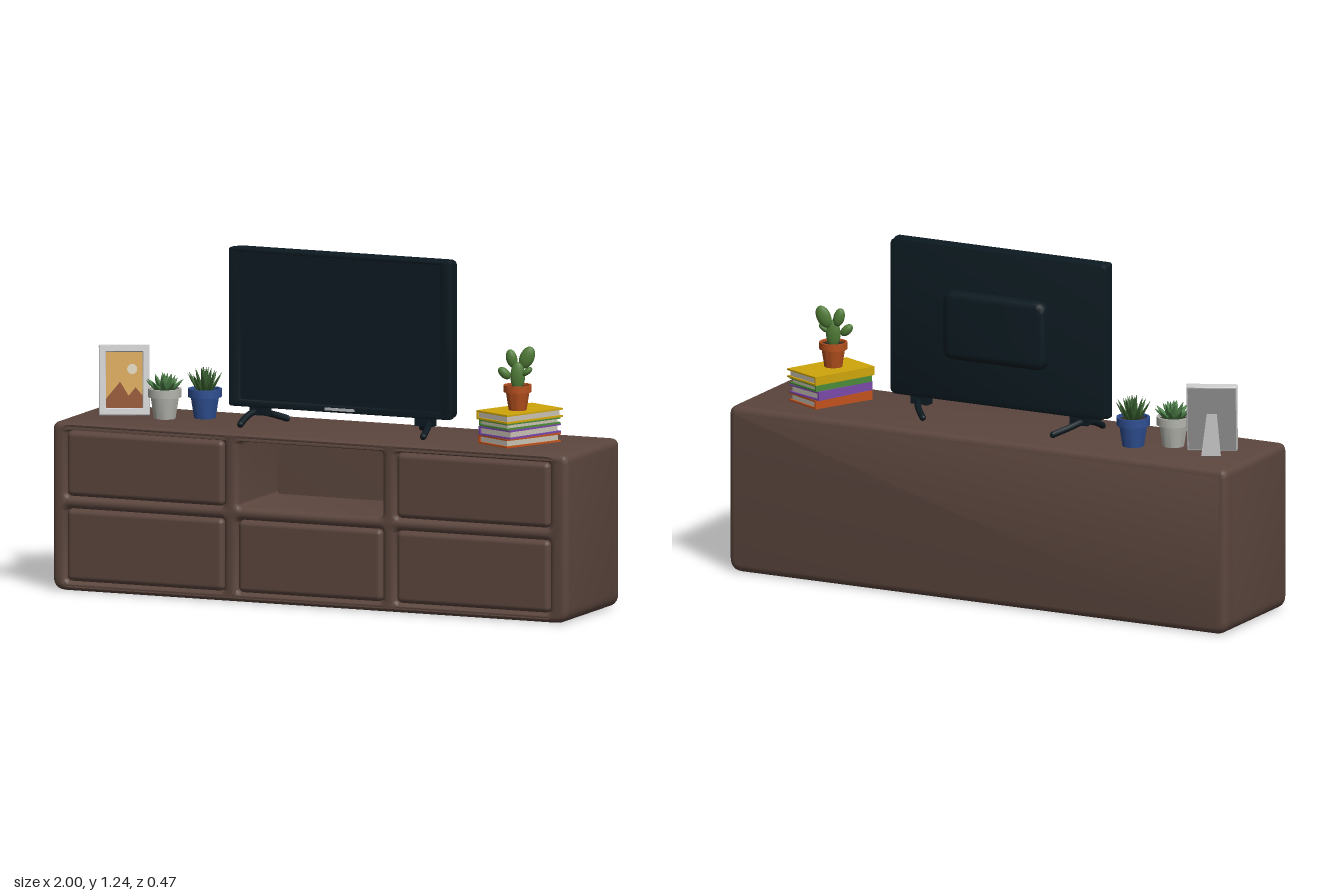
import * as THREE from 'three';
import { toCreasedNormals } from 'three/addons/utils/BufferGeometryUtils.js';
import { RoundedBoxGeometry } from 'three/addons/geometries/RoundedBoxGeometry.js';

const mats = {};
const mat = (color) => (mats[color] ??= new THREE.MeshStandardMaterial({ color, side: THREE.DoubleSide }));
const WOOD = 0x5c463e, DARK = 0x0c1a21, GREEN = 0x4f7a36, SOIL = 0x3a2a20;

function add(parent, name, geometry, color, x = 0, y = 0, z = 0) {
  const mesh = new THREE.Mesh(geometry, mat(color));
  mesh.name = name;
  mesh.position.set(x, y, z);
  parent.add(mesh);
  return mesh;
}

function group(parent, name, x, y, z, turn = 0) {
  const g = new THREE.Group();
  g.name = name;
  g.position.set(x, y, z);
  g.rotation.y = turn;
  parent.add(g);
  return g;
}

// Rounded rectangle with separate top and bottom corner radii
function roundRect(target, x0, y0, x1, y1, rb, rt = rb) {
  target.moveTo(x0 + rb, y0);
  target.lineTo(x1 - rb, y0);
  target.quadraticCurveTo(x1, y0, x1, y0 + rb);
  target.lineTo(x1, y1 - rt);
  target.quadraticCurveTo(x1, y1, x1 - rt, y1);
  target.lineTo(x0 + rt, y1);
  target.quadraticCurveTo(x0, y1, x0, y1 - rt);
  target.lineTo(x0, y0 + rb);
  target.quadraticCurveTo(x0, y0, x0 + rb, y0);
  return target;
}

// Extrusion from z0 to z1 whose bevel stays inside the outline
function slab(shape, z0, z1, bevel, segments = 4) {
  const g = new THREE.ExtrudeGeometry(shape, {
    depth: z1 - z0 - 2 * bevel, bevelEnabled: bevel > 0, bevelThickness: bevel, bevelSize: bevel,
    bevelOffset: -bevel, bevelSegments: segments, curveSegments: 6,
  });
  g.translate(0, 0, z0 + bevel);
  return toCreasedNormals(g, 0.6);
}

function buildCabinet(root) {
  const cabinet = group(root, 'cabinet', 0, 0, 0);
  const outline = () => roundRect(new THREE.Shape(), -1, 0, 1, 0.605, 0.05, 0.03);
  add(cabinet, 'cabinetBack', slab(outline(), -0.235, -0.12, 0.025), WOOD);

  // Front carcass with six openings; the upper middle one stays open
  const columns = [[-0.945, -0.335], [-0.28, 0.28], [0.335, 0.93]];
  const rows = [[0.035, 0.295], [0.34, 0.575]];
  const carcass = outline();
  columns.forEach(([x0, x1], c) => rows.forEach(([y0, y1], r) => {
    carcass.holes.push(roundRect(new THREE.Path(), x0, y0, x1, y1, 0.015));
    if (c === 1 && r === 1) return;
    add(cabinet, 'drawer', new RoundedBoxGeometry(x1 - x0, y1 - y0, 0.37, 4, 0.02), WOOD,
      (x0 + x1) / 2, (y0 + y1) / 2, 0.05);
  }));
  add(cabinet, 'cabinetCarcass', slab(carcass, -0.2, 0.235, 0.022), WOOD);
}

function buildTelevision(root) {
  const tv = group(root, 'television', 0.027, 0, 0);
  const bezel = roundRect(new THREE.Shape(), -0.432, 0.67, 0.432, 1.24, 0.012);
  bezel.holes.push(roundRect(new THREE.Path(), -0.388, 0.696, 0.388, 1.225, 0.004));
  add(tv, 'bezel', slab(bezel, 0, 0.03, 0.004, 2), DARK);
  add(tv, 'backShell', slab(roundRect(new THREE.Shape(), -0.432, 0.67, 0.432, 1.24, 0.025), -0.03, 0.015, 0.006, 2), DARK);
  add(tv, 'screen', new THREE.BoxGeometry(0.79, 0.54, 0.01), DARK, 0, 0.96, 0.015);
  add(tv, 'rearHousing', slab(roundRect(new THREE.Shape(), -0.205, 0.83, 0.205, 1.08, 0.04), -0.068, 0, 0.025), DARK);
  add(tv, 'indicatorBar', new THREE.BoxGeometry(0.115, 0.01, 0.006), 0xb5b8ba, 0, 0.682, 0.03);

  // Bowed feet, mirrored
  for (const s of [-1, 1]) {
    const path = new THREE.CatmullRomCurve3([
      [0.262, 0.617, -0.1], [0.3, 0.635, -0.06], [0.335, 0.652, 0], [0.35, 0.64, 0.05], [0.355, 0.617, 0.1],
    ].map(([x, y, z]) => new THREE.Vector3(s * x, y, z)));
    add(tv, 'foot', new THREE.TubeGeometry(path, 20, 0.012, 8), DARK);
    for (const p of [path.getPoint(0), path.getPoint(1)])
      add(tv, 'footTip', new THREE.SphereGeometry(0.012, 8, 6), DARK, p.x, p.y, p.z);
    add(tv, 'footMount', new THREE.BoxGeometry(0.07, 0.04, 0.035), DARK, s * 0.32, 0.66, 0);
  }
}

function buildBooks(root) {
  const books = [
    [0xc2521c, 0.605, 0.032, -0.46, 0.16, 0.25],
    [0x7a4aa8, 0.637, 0.032, -0.38, 0.162, 0.25],
    [0x4c8a3a, 0.669, 0.024, -0.44, 0.155, 0.25],
    [0xd0a60c, 0.693, 0.032, -0.43, 0.165, 0.265],
  ];
  for (const [color, y, h, turn, w, d] of books) {
    const book = group(root, 'book', 0.718, y, 0.012, turn);
    const t = 0.006;
    for (const cy of [t / 2, h - t / 2]) add(book, 'cover', new THREE.BoxGeometry(w, t, d), color, 0, cy, 0);
    add(book, 'spine', new THREE.BoxGeometry(t, h, d), color, -w / 2 + t / 2, h / 2, 0);
    add(book, 'pages', new THREE.BoxGeometry(w - 0.014, h - t, d - 0.016), 0xc9c2b4, -0.002, h / 2, 0);
  }
}

// Tapered pot with a rim, hollow down to the soil
function buildPot(root, name, x, y, z, r, h, color) {
  const pot = group(root, name, x, y, z);
  const profile = [[0, 0], [0.64, 0], [0.84, 0.72], [1, 0.72], [1, 1], [0.86, 1], [0.82, 0.82]]
    .map(([a, b]) => new THREE.Vector2(a * r, b * h));
  add(pot, 'pot', toCreasedNormals(new THREE.LatheGeometry(profile, 28), 0.5), color);
  add(pot, 'soil', new THREE.CylinderGeometry(r * 0.85, r * 0.8, 0.01, 24), SOIL, 0, h * 0.86, 0);
  return pot;
}

function buildCactus(root) {
  const pot = buildPot(root, 'cactusPot', 0.718, 0.725, 0.03, 0.05, 0.09, 0xb5501e);
  // Pads: centre, half width, half height, lean
  const pads = [
    [0, 0.12, 0, 0.026, 0.052, 0],
    [-0.022, 0.182, -0.01, 0.02, 0.034, 0.25],
    [0.032, 0.185, -0.018, 0.026, 0.042, -0.4],
    [-0.047, 0.132, 0.006, 0.017, 0.027, 0.8],
    [0.034, 0.138, 0.004, 0.011, 0.022, -0.9],
  ];
  const plant = group(pot, 'cactus', 0, 0, 0, 0.35);
  for (const [x, y, z, w, h, lean] of pads) {
    const pad = add(plant, 'cactusPad', new THREE.SphereGeometry(1, 16, 12), GREEN, x, y, z);
    pad.scale.set(w, h, 0.015);
    pad.rotation.z = lean;
  }
}

// Rings of pointed leaves: count, tilt outwards, length, start radius
function buildSucculent(pot, baseY, width, rings, color) {
  const leaf = new THREE.LatheGeometry([[0, 0], [0.7, 0.12], [1, 0.4], [0.6, 0.75], [0, 1]]
    .map(([a, b]) => new THREE.Vector2(a, b)), 8);
  rings.forEach(([count, tilt, length, radius], k) => {
    for (let i = 0; i < count; i++) {
      const arm = group(pot, 'leafArm', 0, baseY, 0, (i / count) * Math.PI * 2 + k * 0.4);
      const mesh = add(arm, 'leaf', leaf, color, radius, 0, 0);
      mesh.scale.set(width * 0.55, length, width);
      mesh.rotation.z = -tilt;
    }
  });
}

function buildPhotoFrame(root) {
  const stand = group(root, 'photoFrame', -0.815, 0.607, 0.015, 0.44);
  const frame = group(stand, 'frame', 0, 0, 0);
  frame.rotation.x = -0.2;
  const border = roundRect(new THREE.Shape(), -0.09, 0, 0.09, 0.252, 0.004);
  border.holes.push(roundRect(new THREE.Path(), -0.065, 0.026, 0.065, 0.226, 0.002));
  add(frame, 'frameBorder', slab(border, -0.015, 0.015, 0.003, 1), 0xc4c4c4);
  add(frame, 'frameBack', new THREE.BoxGeometry(0.17, 0.24, 0.008), 0x9a9a9a, 0, 0.126, -0.012);
  add(frame, 'pictureSky', new THREE.BoxGeometry(0.132, 0.202, 0.004), 0xd0a050, 0, 0.126, -0.005);
  const hills = new THREE.Shape([[-0.065, 0.026], [0.065, 0.026], [0.065, 0.07], [0.04, 0.1], [0.015, 0.07],
    [-0.015, 0.12], [-0.065, 0.06]].map(([x, y]) => new THREE.Vector2(x, y)));
  add(frame, 'pictureHills', slab(hills, -0.004, 0, 0), 0x8a4a1c);
  add(frame, 'pictureSun', new THREE.CircleGeometry(0.018, 20), 0xd8cdb8, 0.028, 0.165, -0.002);

  // Easel leg behind
  const leg = new THREE.Shape([[-0.035, 0], [0.035, 0], [0.018, 0.15], [-0.018, 0.15]].map(([x, y]) => new THREE.Vector2(x, y)));
  const legMesh = add(stand, 'easelLeg', slab(leg, -0.004, 0.004, 0), 0xa8a8a8, 0, 0, -0.1);
  legMesh.rotation.x = 0.36;
}

export function createModel() {
  const root = new THREE.Group();
  root.name = 'mediaConsole';
  buildCabinet(root);
  buildTelevision(root);
  buildBooks(root);
  buildCactus(root);
  const pale = buildPot(root, 'palePot', -0.663, 0.605, 0.005, 0.06, 0.108, 0xb4b4ae);
  buildSucculent(pale, 0.09, 0.013, [[10, 0.85, 0.075, 0.012], [7, 0.45, 0.075, 0.006], [3, 0.12, 0.075, 0.002]], 0x4c8048);
  const blue = buildPot(root, 'bluePot', -0.537, 0.605, -0.062, 0.06, 0.106, 0x2f4f92);
  buildSucculent(blue, 0.09, 0.009, [[10, 0.55, 0.085, 0.018], [7, 0.3, 0.09, 0.01], [4, 0.1, 0.095, 0.004]], 0x38602f);
  buildPhotoFrame(root);
  return root;
}
